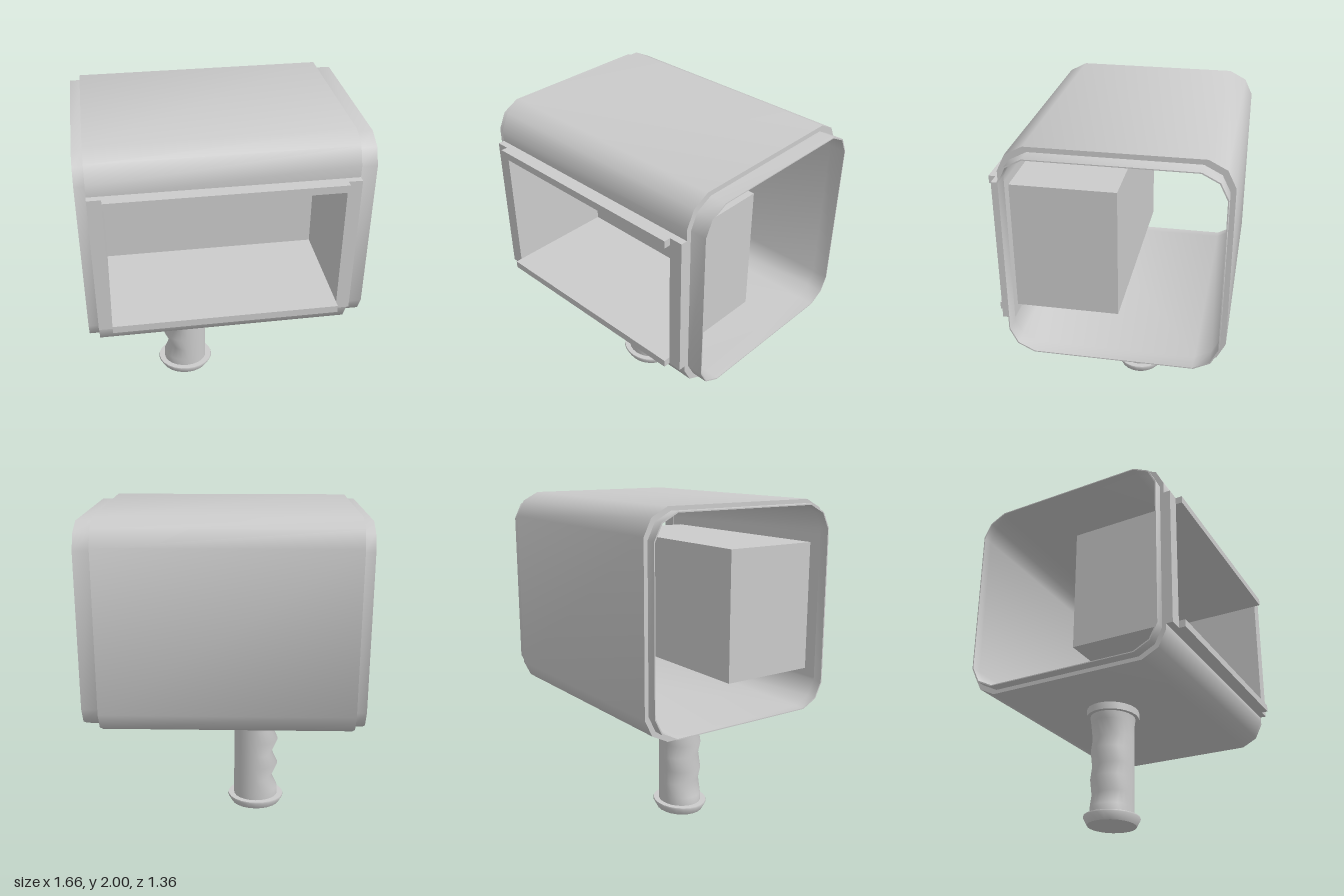
import * as THREE from 'three';
import { toCreasedNormals } from 'three/addons/utils/BufferGeometryUtils.js';

const CY = 1.36, CZ = -0.04;

export function createModel() {
  const group = new THREE.Group();
  const mat = new THREE.MeshStandardMaterial({ color: 0xcccccc, side: THREE.DoubleSide });

  function add(name, geometry) {
    const mesh = new THREE.Mesh(geometry, mat);
    mesh.name = name;
    group.add(mesh);
    return mesh;
  }

  function block(name, x0, x1, y0, y1, z0, z1) {
    add(name, new THREE.BoxGeometry(x1 - x0, y1 - y0, z1 - z0))
      .position.set((x0 + x1) / 2, (y0 + y1) / 2, (z0 + z1) / 2);
  }

  // Bevelled square outline of half size h, running from the front top corner to the front bottom corner
  function outline(h) {
    const quarter = [[-1, 0.766], [-0.925, 0.918], [-0.766, 1]];
    const top = [...quarter, ...quarter.map(([u, v]) => [-u, v]).reverse()];
    return [...top, ...top.map(([u, v]) => [u, -v]).reverse()]
      .map(([u, v]) => new THREE.Vector2(u * h - CZ, v * h + CY));
  }

  // Extrude a side profile (u = -z, v = y) along x
  function alongX(shape, x0, x1) {
    const geo = new THREE.ExtrudeGeometry(shape, { depth: x1 - x0, bevelEnabled: false });
    geo.rotateY(Math.PI / 2).translate(x0, 0, 0);
    return toCreasedNormals(geo, 0.8);
  }

  // Main shell, left open at the front where the frame sits
  const gapTop = 1.78, gapBottom = 0.905;
  const v = (u, y) => new THREE.Vector2(u, y);
  const shell = new THREE.Shape([
    v(-0.6, gapTop), ...outline(0.64), v(-0.6, gapBottom),
    v(-0.57, gapBottom), ...outline(0.61).reverse(), v(-0.57, gapTop),
  ]);
  add('shell', alongX(shell, -0.77, 0.73));

  // Thin rims protruding at both open ends
  for (const [name, x0, x1, h] of [['rightRim', -0.83, -0.77, 0.616], ['leftRim', 0.73, 0.83, 0.611]]) {
    const rim = new THREE.Shape(outline(h));
    rim.holes.push(new THREE.Path(outline(h - 0.006)));
    add(name, alongX(rim, x0, x1));
  }

  // Front frame around the opening
  const rect = (P, x0, x1, y0, y1) => new P([v(x0, y0), v(x1, y0), v(x1, y1), v(x0, y1)]);
  const frame = rect(THREE.Shape, -0.77, 0.73, gapBottom, gapTop);
  frame.holes.push(rect(THREE.Path, -0.69, 0.65, 0.95, 1.735));
  add('frontFrame', new THREE.ExtrudeGeometry(frame, { depth: 0.07, bevelEnabled: false }).translate(0, 0, 0.57));

  // Rails above and below the opening
  block('topRail', -0.69, 0.65, 1.735, gapTop, 0.64, 0.68);
  block('bottomRail', -0.69, 0.65, gapBottom, 0.95, 0.64, 0.68);

  // Recessed compartment: a thin box without its front face
  const box = new THREE.BoxGeometry(1.34, 0.785, 0.61);
  box.setIndex(Array.from(box.index.array).filter((_, i) => i < 24 || i >= 30));
  add('compartment', box).position.set(-0.02, 1.3425, 0.265);

  // Handle parts: lathed, then flattened slightly in z
  function handlePart(name, points, reshape) {
    const geo = new THREE.LatheGeometry(points.map(([r, y]) => v(r, y)), 24);
    const p = geo.attributes.position;
    for (let i = 0; i < p.count; i++) {
      if (reshape && p.getX(i) < 0) p.setX(i, p.getX(i) * reshape(p.getY(i)));
      p.setZ(i, p.getZ(i) * 0.89);
    }
    add(name, toCreasedNormals(geo, 1.0)).position.set(-0.2, 0, CZ);
  }

  // Grip with finger grooves on the -x side
  const grooves = [0.19, 0.365, 0.54];
  const ys = [0.04, 0.105, 0.19, 0.28, 0.365, 0.455, 0.54, 0.63];
  handlePart('grip', [...ys.map(y => [0.145, y]), [0.153, 0.68]],
    y => grooves.some(g => Math.abs(g - y) < 0.01) ? 0.72 : 1);
  handlePart('collar', [[0, 0.675], [0.177, 0.675], [0.177, 0.725], [0, 0.725]]);
  handlePart('pommel', [[0, 0], [0.16, 0], [0.186, 0.045], [0.183, 0.054], [0, 0.054]]);

  return group;
}
